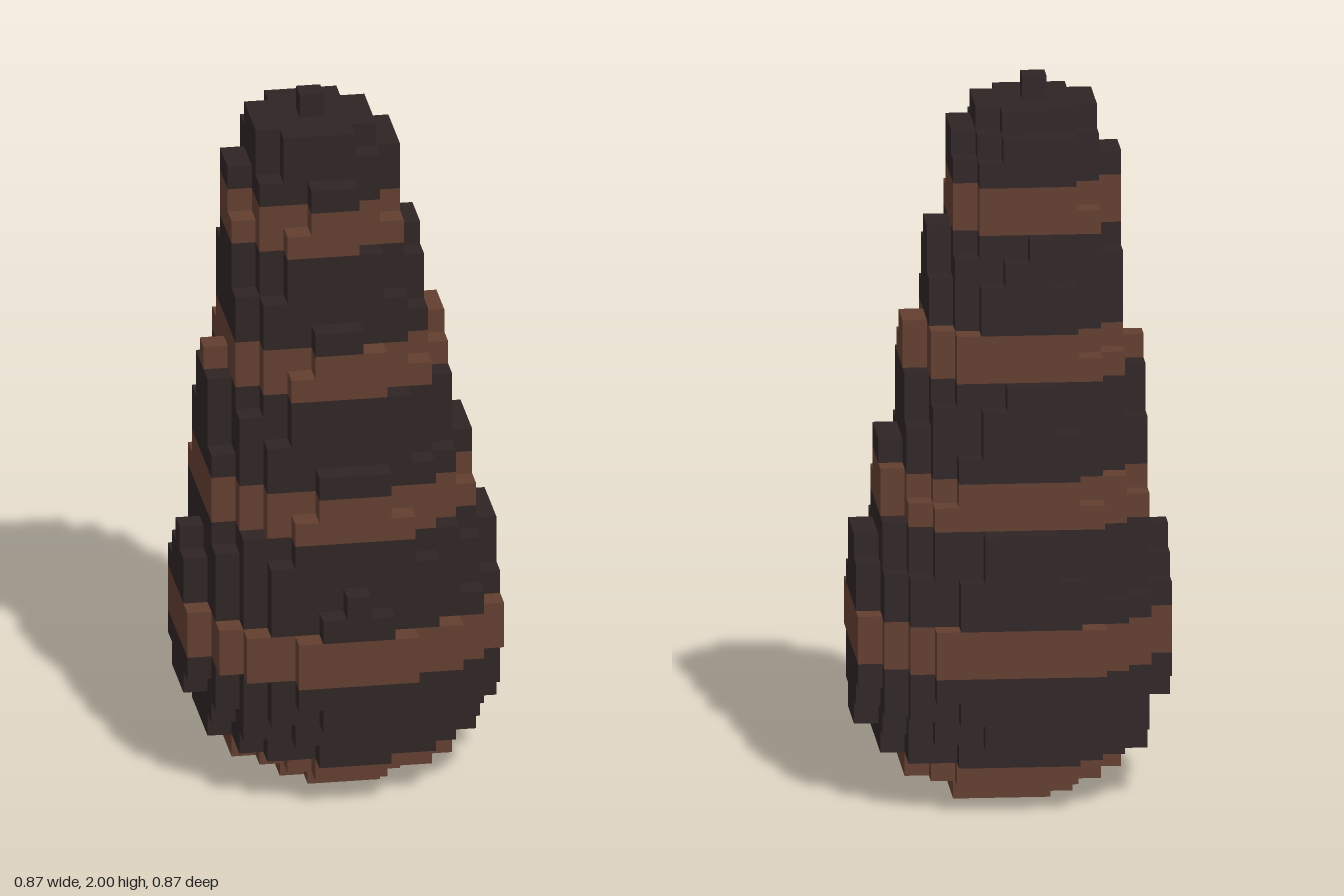
import * as THREE from 'three';
import { mergeGeometries } from 'three/addons/utils/BufferGeometryUtils.js';

const LAYERS = 30;
const U = 2 / LAYERS; // cube size

// Radius of each layer, in cubes: rounded base, then an even taper, flat cap and tip
function radius(k) {
  const base = [2.6, 4.5, 5.5, 6.0, 6.4, 6.6, 6.74, 6.72];
  if (k < base.length) return base[k];
  if (k === 29) return 0.5;
  if (k === 28) return 2.55;
  if (k === 26) return 3.32;
  return 5.9 - 0.175 * (k - 11);
}

// The body leans slightly to one side as it rises
function filled(i, k, j) {
  if (k < 0 || k >= LAYERS) return false;
  const cx = Math.min(0.2, 0.052 * (11 - k));
  const cz = -0.22;
  return k === 29 ? i === -1 && j === 0 : Math.hypot(i - cx, j - cz) <= radius(k);
}

// One square per direction, turned to face outward
const SIDES = [
  [1, 0, 0], [-1, 0, 0], [0, 1, 0], [0, -1, 0], [0, 0, 1], [0, 0, -1],
].map((d) => {
  const n = new THREE.Vector3(...d);
  const q = new THREE.Quaternion().setFromUnitVectors(new THREE.Vector3(0, 0, 1), n);
  if (d[2] === -1) q.setFromAxisAngle(new THREE.Vector3(0, 1, 0), Math.PI);
  const face = new THREE.PlaneGeometry(U, U).applyQuaternion(q);
  face.translate(n.x * U / 2, n.y * U / 2, n.z * U / 2);
  return { d, face };
});

// Outer faces of the cubes in layers from..to-1
function band(from, to) {
  const faces = [];
  for (let k = from; k < to; k++)
    for (let i = -7; i <= 7; i++)
      for (let j = -7; j <= 7; j++) {
        if (!filled(i, k, j)) continue;
        for (const { d, face } of SIDES)
          if (!filled(i + d[0], k + d[1], j + d[2]))
            faces.push(face.clone().translate(i * U, (k + 0.5) * U, j * U));
      }
  return mergeGeometries(faces);
}

export function createModel() {
  const model = new THREE.Group();
  model.name = 'stripedBlockCone';
  const brown = new THREE.MeshStandardMaterial({ name: 'stripe brown', color: 0x623d2f });
  const dark = new THREE.MeshStandardMaterial({ name: 'dark brown', color: 0x2e2424 });

  // Two brown layers followed by four dark ones, repeated to the top
  for (let k = 0, n = 1; k < LAYERS; k += 6, n++) {
    const stripe = new THREE.Mesh(band(k, k + 2), brown);
    stripe.name = 'brownStripe' + n;
    const body = new THREE.Mesh(band(k + 2, k + 6), dark);
    body.name = 'darkBand' + n;
    model.add(stripe, body);
  }
  return model;
}
